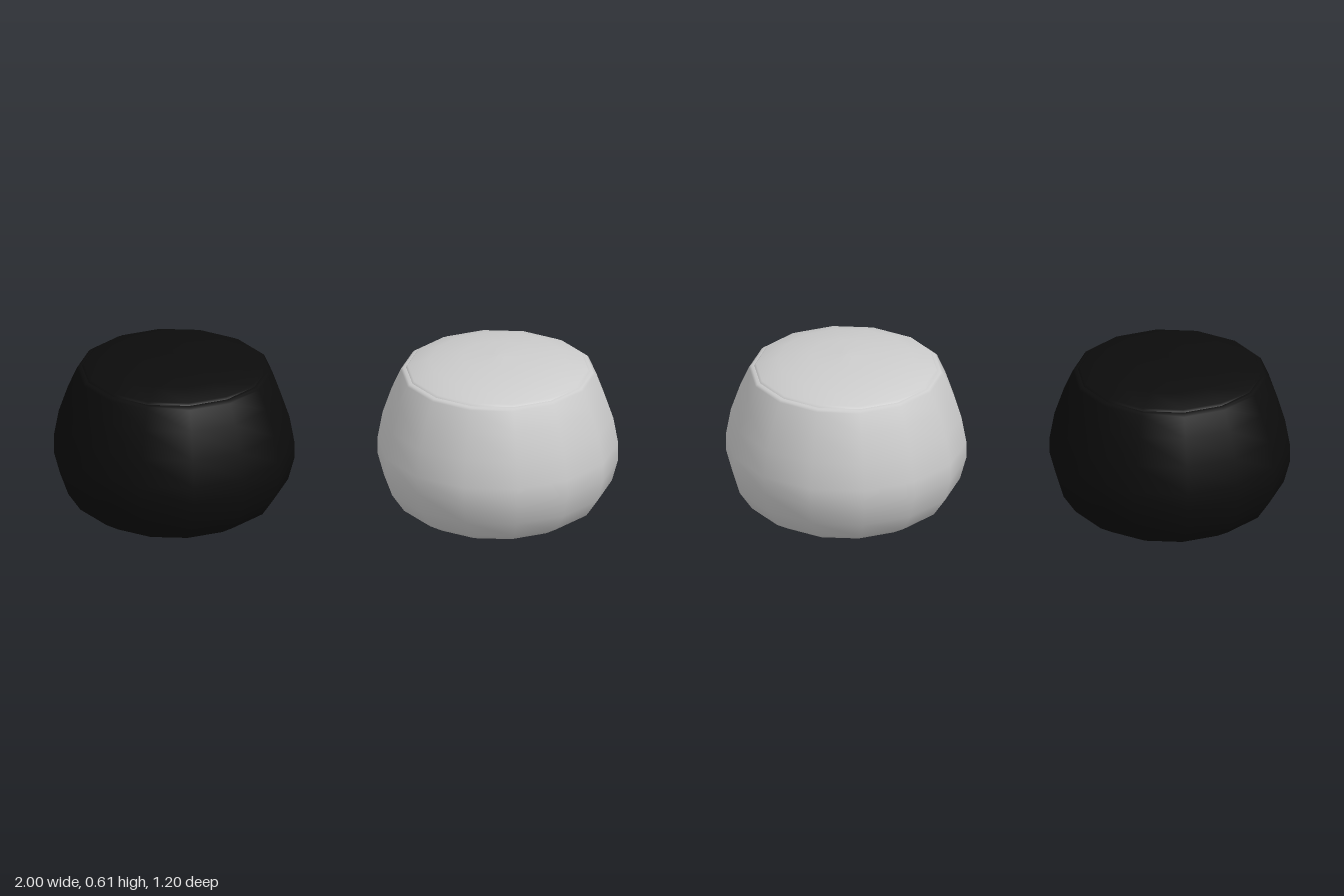
import * as THREE from 'three';

const SIDES = 14;
const TURN = -0.11; // slight twist of the facets about the vertical axis

// Body: rounded underside, bulging wall, rolled upper rim
const BODY = [
  [0, 0.003], [0.15, 0.006], [0.305, 0.016], [0.368, 0.055], [0.415, 0.125], [0.438, 0.21],
  [0.438, 0.275], [0.42, 0.375], [0.386, 0.475], [0.354, 0.548], [0.346, 0.555], [0.335, 0.557],
];

// Lid: shallow dome meeting the rim at a crisp edge
const LID = [[0.335, 0.557], [0.328, 0.565], [0.25, 0.592], [0.13, 0.609], [0, 0.614]];

function turned(name, profile, material) {
  const points = profile.map(([r, y]) => new THREE.Vector2(r, y));
  const mesh = new THREE.Mesh(new THREE.LatheGeometry(points, SIDES, TURN), material);
  mesh.name = name;
  return mesh;
}

function makeStone(name, color, x, z) {
  const material = new THREE.MeshStandardMaterial({ color });
  const stone = new THREE.Group();
  stone.name = name;
  stone.add(turned('body', BODY, material), turned('domedTop', LID, material));
  stone.position.set(x, 0, z);
  return stone;
}

export function createModel() {
  const model = new THREE.Group();
  model.name = 'stonePair';
  model.add(
    makeStone('blackStone', 0x0c0c0c, -0.565, -0.164),
    makeStone('lightStone', 0xcccccc, 0.565, 0.164),
  );
  return model;
}
